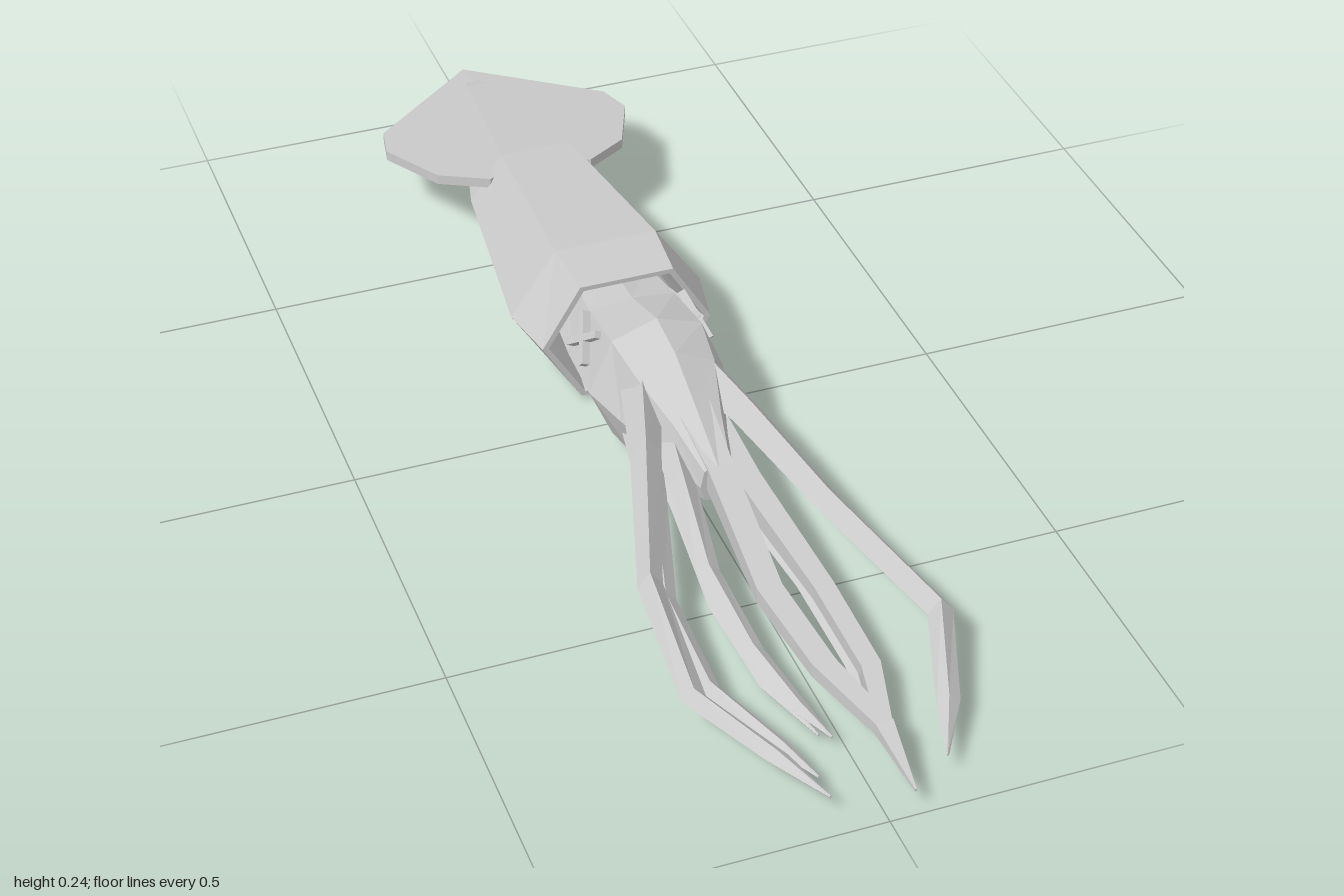
import * as THREE from 'three';

const material = new THREE.MeshStandardMaterial({ color: 0xcccccc, flatShading: true, side: THREE.DoubleSide });
const CENTRE = -0.009;

function mesh(name, geometry) {
  const m = new THREE.Mesh(geometry, material);
  m.name = name;
  return m;
}

// Skin a list of equal-length rings (each counter-clockwise seen from +z, ordered towards +z)
function loft(rings, capStart = false, capEnd = false) {
  const pos = [];
  const tri = (a, b, c) => pos.push(...a, ...b, ...c);
  const n = rings[0].length;
  for (let i = 0; i < rings.length - 1; i++) {
    for (let j = 0; j < n; j++) {
      const k = (j + 1) % n;
      const [a, b, c, d] = [rings[i][j], rings[i][k], rings[i + 1][k], rings[i + 1][j]];
      tri(a, b, c);
      tri(a, c, d);
    }
  }
  const last = rings[rings.length - 1];
  for (let j = 1; j < n - 1; j++) {
    if (capStart) tri(rings[0][0], rings[0][j + 1], rings[0][j]);
    if (capEnd) tri(last[0], last[j], last[j + 1]);
  }
  const g = new THREE.BufferGeometry();
  g.setAttribute('position', new THREE.Float32BufferAttribute(pos, 3));
  g.computeVertexNormals();
  return g;
}

// Hexagonal mantle section: flat top and bottom, corners at the sides
const hexRing = ([z, top, mid, bottom, flat, side]) => [
  [side, mid, z], [flat, top, z], [-flat, top, z],
  [-side, mid, z], [-flat, bottom, z], [flat, bottom, z],
];

// Eight-sided head section with ridges on top and below
const headRing = ([z, top, shoulder, mid, hip, bottom, sx, mx]) => [
  [mx, mid, z], [sx, shoulder, z], [0, top, z], [-sx, shoulder, z],
  [-mx, mid, z], [-sx, hip, z], [0, bottom, z], [sx, hip, z],
];

// Four-sided arm through points [x, y, z, halfWidth, halfHeight]
function arm(name, points, roll) {
  const rings = points.map(([x, y, z, w, h]) => [0, 1, 2, 3].map((k) => {
    const a = roll + k * Math.PI / 2;
    return [x + w * Math.cos(a), y + h * Math.sin(a), z];
  }));
  return mesh(name, loft(rings, true, true));
}

// Flat fin that drops towards the tail and slightly outwards
function fin(side) {
  const outline = [[0, -0.985], [0.209, -0.79], [0.224, -0.715], [0.17, -0.58], [0.092, -0.522], [0, -0.56]];
  const shape = new THREE.Shape(outline.map(([x, z]) => new THREE.Vector2(side * x, -z)));
  const g = new THREE.ExtrudeGeometry(shape, { depth: 0.018, bevelEnabled: false });
  g.rotateX(-Math.PI / 2);
  const p = g.attributes.position;
  for (let i = 0; i < p.count; i++) {
    const t = (p.getZ(i) + 0.99) / 0.47;
    p.setY(i, p.getY(i) + 0.086 + 0.066 * t - 0.03 * Math.abs(p.getX(i)));
  }
  g.computeVertexNormals();
  return mesh(side > 0 ? 'leftFin' : 'rightFin', g);
}

// Crossed bars lying on the sloping cheek
function eye(side) {
  const group = new THREE.Group();
  group.name = side > 0 ? 'leftEye' : 'rightEye';
  for (const turn of [-0.85, 0.85]) {
    const bar = mesh('eyeBar', new THREE.BoxGeometry(0.014, 0.09, 0.012));
    bar.rotation.x = turn;
    group.add(bar);
  }
  group.position.set(side * 0.095, 0.176, -0.012);
  group.rotation.z = side * 0.43;
  return group;
}

export function createModel() {
  const model = new THREE.Group();
  model.name = 'squid';
  const body = new THREE.Group();
  body.name = 'body';
  body.position.x = CENTRE;
  model.add(body);

  // Mantle with a turned-in lip and a hollow front
  body.add(mesh('mantle', loft([
    [-1, 0.092, 0.09, 0.088, 0.002, 0.003],
    [-0.9, 0.12, 0.097, 0.066, 0.017, 0.032],
    [-0.55, 0.193, 0.11, 0.021, 0.062, 0.12],
    [-0.18, 0.236, 0.122, 0.002, 0.087, 0.166],
    [-0.075, 0.23, 0.122, 0.012, 0.08, 0.146],
    [-0.075, 0.222, 0.122, 0.02, 0.074, 0.135],
    [-0.17, 0.2, 0.122, 0.04, 0.065, 0.11],
  ].map(hexRing), true, true)));

  // Head narrowing into the crown of arms
  body.add(mesh('head', loft([
    [-0.16, 0.2, 0.185, 0.122, 0.05, 0.04, 0.065, 0.1],
    [-0.05, 0.208, 0.2, 0.122, 0.05, 0.038, 0.073, 0.11],
    [0.065, 0.245, 0.218, 0.125, 0.036, 0.02, 0.076, 0.114],
    [0.15, 0.235, 0.205, 0.122, 0.045, 0.03, 0.066, 0.09],
    [0.25, 0.192, 0.175, 0.12, 0.07, 0.06, 0.04, 0.055],
    [0.34, 0.152, 0.145, 0.115, 0.09, 0.085, 0.022, 0.028],
  ].map(headRing), true, true)));

  for (const side of [-1, 1]) body.add(fin(side), eye(side));

  // Arms, fanned from the crown and bending inwards at the tips
  const diamond = 0, square = Math.PI / 4;
  model.add(
    arm('rightOuterArm', [
      [-0.055, 0.165, 0.12, 0.035, 0.045], [-0.105, 0.155, 0.28, 0.026, 0.034], [-0.185, 0.105, 0.52, 0.02, 0.027],
      [-0.198, 0.072, 0.74, 0.019, 0.021], [-0.12, 0.048, 0.87, 0.017, 0.014], [-0.075, 0.038, 0.96, 0.002, 0.003],
    ], diamond),
    arm('rightLowerArm', [
      [-0.06, 0.09, 0.12, 0.03, 0.04], [-0.1, 0.085, 0.3, 0.022, 0.028], [-0.16, 0.065, 0.52, 0.017, 0.02],
      [-0.158, 0.043, 0.7, 0.016, 0.018], [-0.1, 0.035, 0.84, 0.014, 0.012], [-0.072, 0.03, 0.91, 0.002, 0.003],
    ], diamond),
    arm('rightInnerArm', [
      [-0.035, 0.13, 0.15, 0.032, 0.04], [-0.06, 0.115, 0.32, 0.022, 0.026], [-0.084, 0.085, 0.5, 0.018, 0.018],
      [-0.075, 0.06, 0.66, 0.017, 0.015], [-0.05, 0.045, 0.78, 0.014, 0.012], [-0.025, 0.035, 0.845, 0.002, 0.003],
    ], diamond),
    arm('rightVentralArm', [
      [-0.03, 0.065, 0.12, 0.03, 0.03], [-0.05, 0.05, 0.3, 0.02, 0.018], [-0.075, 0.035, 0.52, 0.016, 0.013],
      [-0.065, 0.025, 0.7, 0.014, 0.011], [-0.035, 0.02, 0.82, 0.002, 0.003],
    ], diamond),
    arm('dorsalArm', [
      [-0.01, 0.17, 0.18, 0.045, 0.05], [-0.005, 0.13, 0.34, 0.03, 0.03], [-0.022, 0.1, 0.59, 0.028, 0.019],
      [0.0, 0.08, 0.75, 0.026, 0.017], [0.04, 0.065, 0.88, 0.02, 0.014], [0.042, 0.04, 0.99, 0.002, 0.003],
    ], square),
    arm('leftInnerArm', [
      [0.025, 0.12, 0.15, 0.04, 0.045], [0.042, 0.1, 0.34, 0.028, 0.026], [0.07, 0.07, 0.58, 0.023, 0.018],
      [0.075, 0.055, 0.75, 0.022, 0.016], [0.05, 0.045, 0.86, 0.017, 0.012], [0.043, 0.032, 0.95, 0.002, 0.003],
    ], square),
    arm('leftVentralArm', [
      [0.025, 0.065, 0.12, 0.03, 0.03], [0.045, 0.05, 0.3, 0.02, 0.018], [0.068, 0.035, 0.52, 0.016, 0.013],
      [0.07, 0.025, 0.7, 0.014, 0.011], [0.045, 0.02, 0.83, 0.002, 0.003],
    ], diamond),
    arm('leftOuterArm', [
      [0.045, 0.165, 0.12, 0.035, 0.045], [0.08, 0.155, 0.25, 0.027, 0.034], [0.132, 0.12, 0.45, 0.022, 0.028],
      [0.212, 0.077, 0.69, 0.021, 0.025], [0.155, 0.05, 0.85, 0.019, 0.017], [0.114, 0.04, 0.94, 0.002, 0.003],
    ], diamond),
  );
  return model;
}
